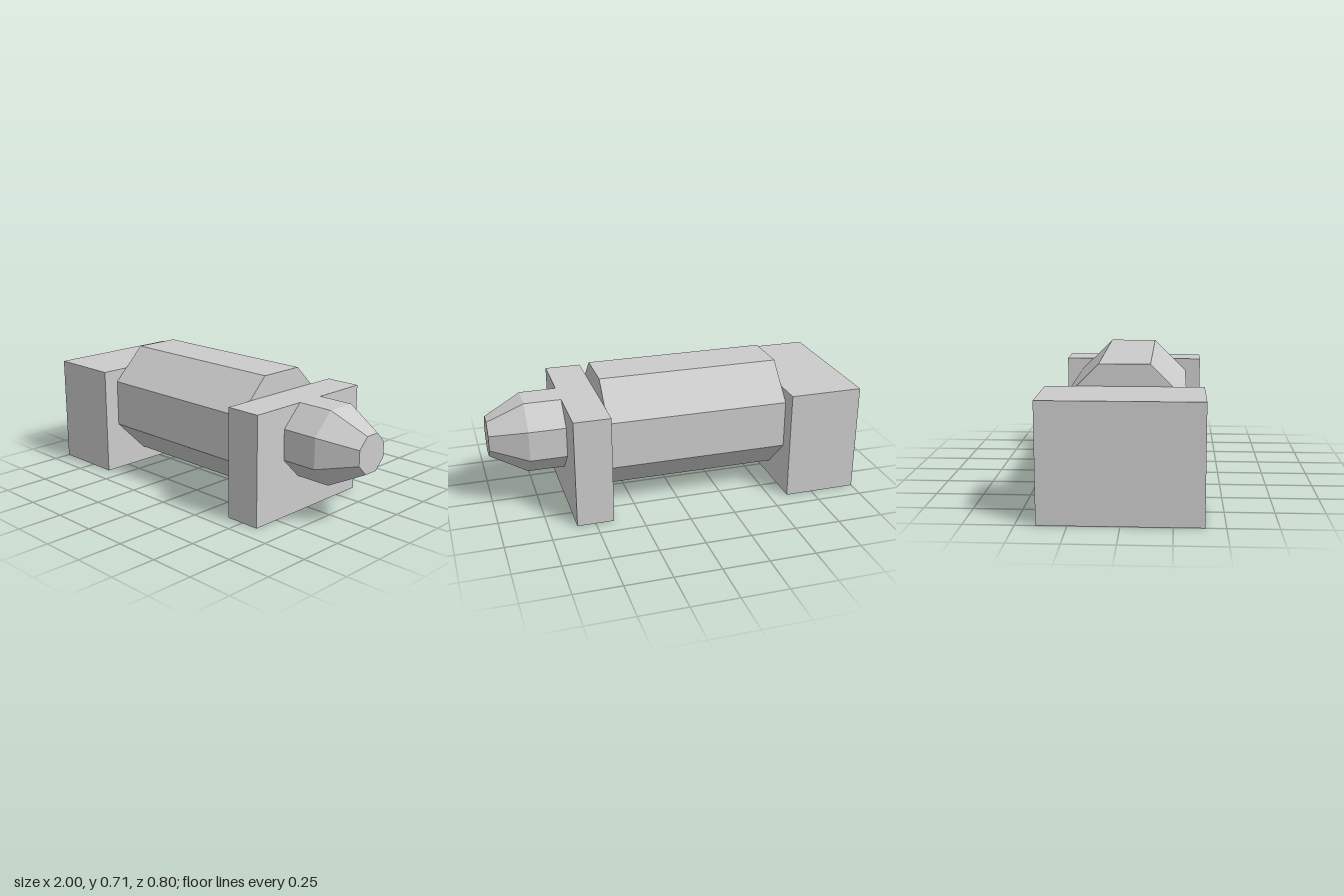
import * as THREE from 'three';

export function createModel() {
  const group = new THREE.Group();
  const material = new THREE.MeshStandardMaterial({ color: 0xcccccc, flatShading: true });
  const axisY = 0.4;

  function add(name, geometry, x, y) {
    const mesh = new THREE.Mesh(geometry, material);
    mesh.name = name;
    mesh.position.set(x, y, 0);
    group.add(mesh);
  }

  // Octagonal solid along x from [x, apothem] stations, with a flat side on top
  function octagon(stations) {
    const toRadius = 1 / Math.cos(Math.PI / 8);
    const profile = stations.map(([x, apothem]) => new THREE.Vector2(apothem * toRadius, x));
    const indexed = new THREE.LatheGeometry(profile, 8, Math.PI / 8);
    const geometry = indexed.toNonIndexed().rotateZ(-Math.PI / 2);
    geometry.computeVertexNormals();
    return geometry;
  }

  // Square end blocks
  add('rearBlock', new THREE.BoxGeometry(0.4, 0.6, 0.8), -0.8, 0.3);
  add('frontPlate', new THREE.BoxGeometry(0.2, 0.6, 0.8), 0.5, 0.3);

  // Barrel between the blocks
  add('barrel', octagon([[-0.6, 0], [-0.6, 0.313], [0.4, 0.313], [0.4, 0]]), 0, axisY);

  // Tapered nose
  add('nose', octagon([[0.6, 0], [0.6, 0.2], [0.8, 0.2], [1, 0.1], [1, 0]]), 0, axisY);

  return group;
}
